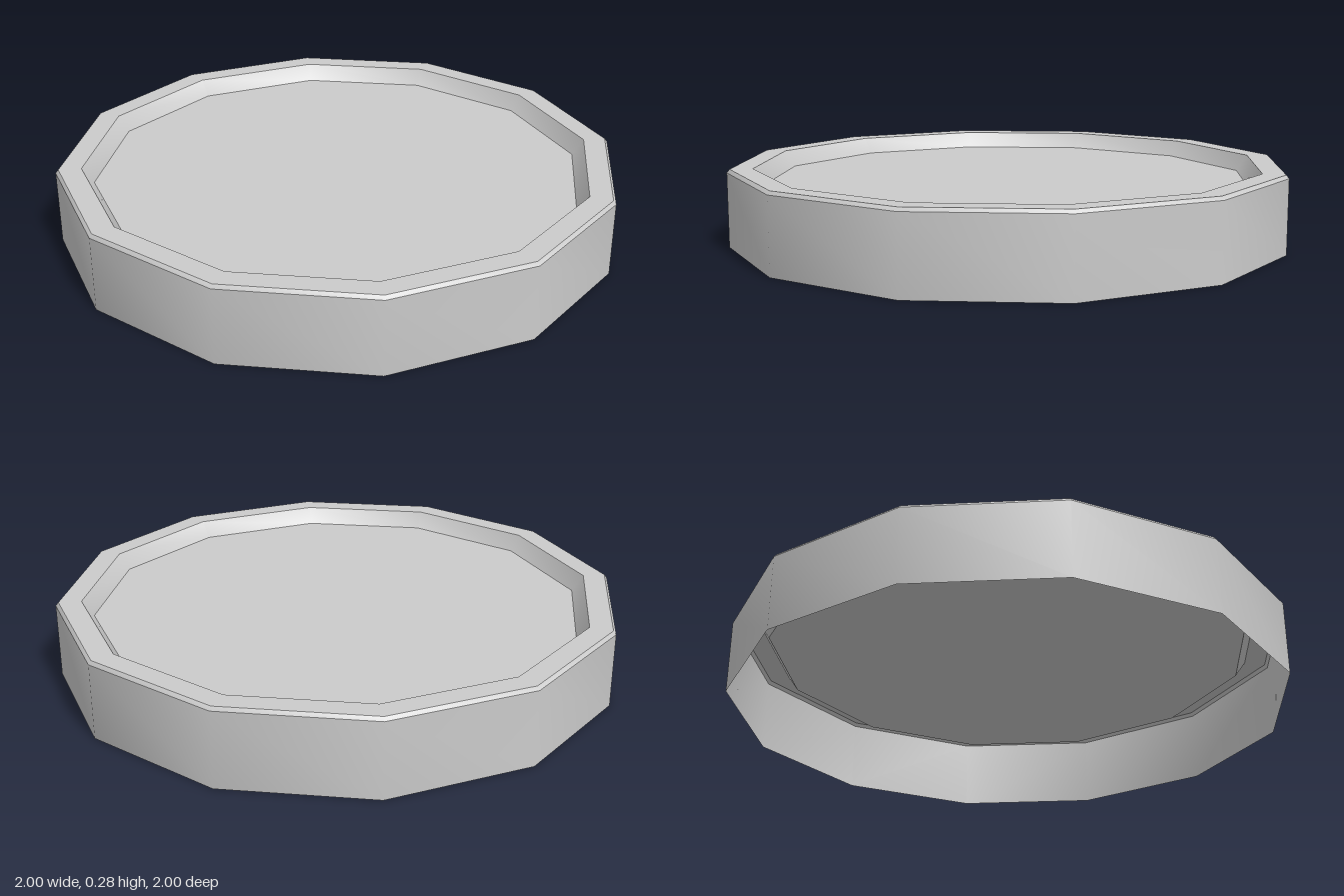
import * as THREE from 'three';
import { toCreasedNormals } from 'three/addons/utils/BufferGeometryUtils.js';

const SIDES = 12;
const FLOOR_RADIUS = 0.87;
const FLOOR_Y = 0.22;

export function createModel() {
  const group = new THREE.Group();
  group.name = 'twelveSidedCap';
  const material = new THREE.MeshStandardMaterial({ color: 0xcccccc, side: THREE.DoubleSide });

  // Thin outer wall, small bevel, flat rim and slope down into the recess
  const profile = [
    [1, 0], [1, 0.265], [0.99, 0.277], [0.91, 0.277], [FLOOR_RADIUS, FLOOR_Y],
  ].map(([r, y]) => new THREE.Vector2(r, y));
  const shell = new THREE.Mesh(
    toCreasedNormals(new THREE.LatheGeometry(profile, SIDES), THREE.MathUtils.degToRad(35)),
    material
  );
  shell.name = 'wallAndRim';
  group.add(shell);

  // Recessed top panel; the underside stays open
  const panel = new THREE.Mesh(
    new THREE.CircleGeometry(FLOOR_RADIUS, SIDES).rotateX(-Math.PI / 2),
    material
  );
  panel.name = 'recessedPanel';
  panel.position.y = FLOOR_Y;
  group.add(panel);

  return group;
}
